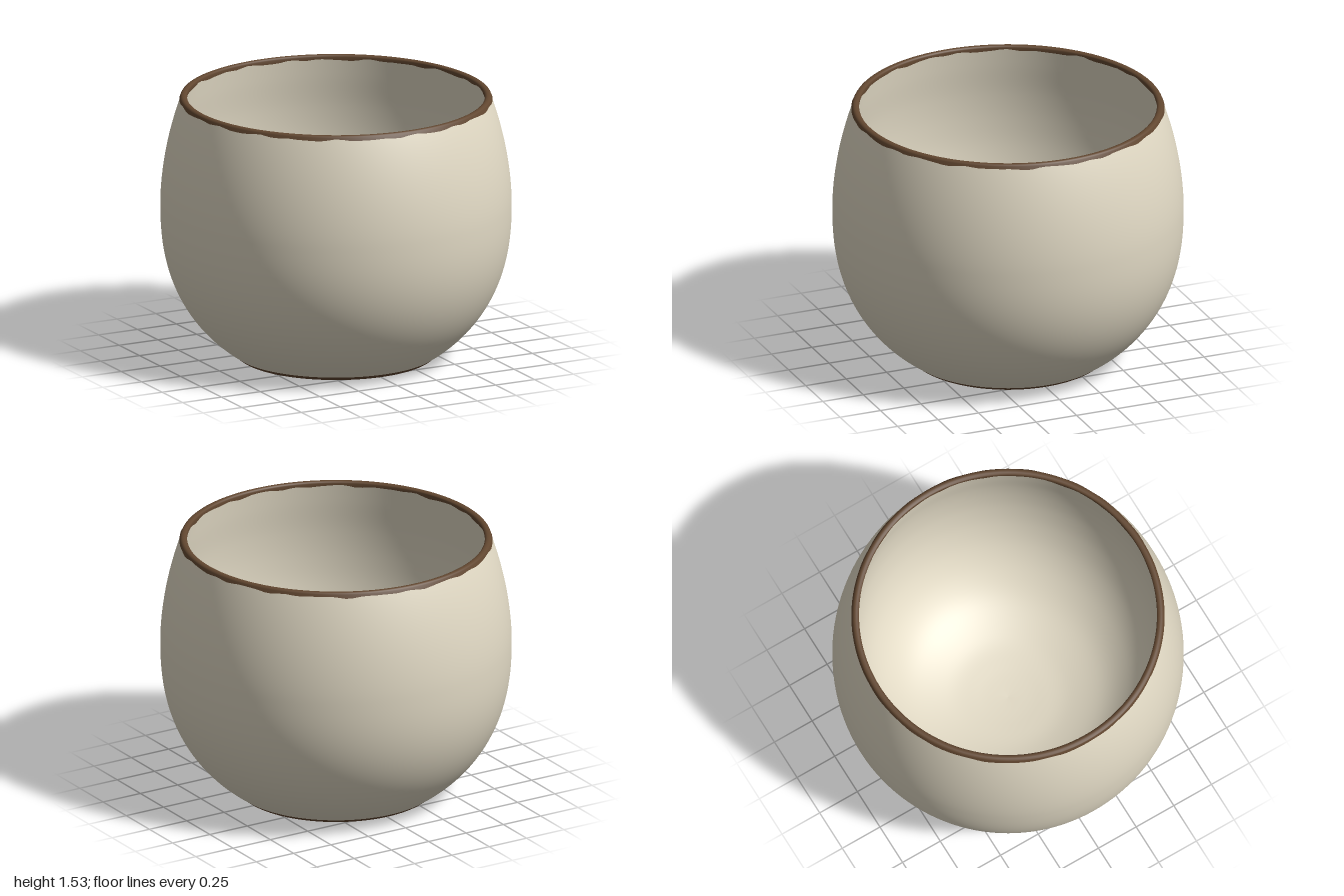
import * as THREE from 'three';

const SEGMENTS = 128;
const cream = new THREE.MeshStandardMaterial({ color: 0xe2dac5 });
cream.name = 'creamGlaze';
const brown = new THREE.MeshStandardMaterial({ color: 0x624730 });
brown.name = 'brownClay';

// Smooth profile through [radius, height] points
function smoothProfile(points, divisions) {
  const curve = new THREE.SplineCurve(points.map(([r, y]) => new THREE.Vector2(r, y)));
  return curve.getPoints(divisions).map((p) => p.setX(Math.max(p.x, 0)));
}

// Radius of the outer wall: widest at 0.9, fuller below than above
function wallRadius(y) {
  const d = y - 0.9;
  return Math.sqrt(1 - (d < 0 ? 0.658 * (-d / 0.875) ** 2.4 : 0.222 * (d / 0.622) ** 1.8));
}

function turned(name, profile, material) {
  const mesh = new THREE.Mesh(new THREE.LatheGeometry(profile, SEGMENTS), material);
  mesh.name = name;
  return mesh;
}

// Irregular waviness of the rim band, periodic around the cup
const wave = (a) =>
  0.004 * Math.sin(23 * a) + 0.003 * Math.sin(13 * a + 1.3) + 0.002 * Math.sin(37 * a + 0.5);

export function createModel() {
  const cup = new THREE.Group();
  cup.name = 'cup';

  // Rounded outer wall
  const outer = [];
  for (let i = 0; i <= 60; i++) {
    const y = 0.025 + (1.522 - 0.025) * (i / 60);
    outer.push(new THREE.Vector2(wallRadius(y), y));
  }
  cup.add(turned('outerWall', outer, cream));

  // Inner wall, thicker towards the bowl-shaped floor
  cup.add(turned('innerWall', smoothProfile([
    [0.85, 1.522], [0.864, 1.4], [0.886, 1.22], [0.893, 1.05], [0.883, 0.88], [0.848, 0.7],
    [0.782, 0.53], [0.68, 0.385], [0.54, 0.27], [0.35, 0.195], [0.17, 0.168], [0, 0.16],
  ], 66), cream));

  // Bare rim with a wavy lower edge on both sides
  const profile = [
    [0.8915, 1.508], [0.886, 1.522], [0.882, 1.529], [0.873, 1.533],
    [0.861, 1.533], [0.852, 1.529], [0.8475, 1.522], [0.8485, 1.506],
  ].map(([r, y]) => new THREE.Vector2(r, y));
  const rim = turned('rim', profile, brown);
  const pos = rim.geometry.attributes.position;
  for (let i = 0; i < pos.count; i++) {
    const row = i % profile.length;
    if (row !== 0 && row !== profile.length - 1) continue;
    const angle = (Math.floor(i / profile.length) / SEGMENTS) * Math.PI * 2;
    pos.setY(i, pos.getY(i) + wave(row ? angle + 2 : angle));
  }
  cup.add(rim);

  // Bare foot ring blending into a shallow recessed underside
  cup.add(turned('foot', smoothProfile([
    [0, 0.052], [0.2, 0.052], [0.38, 0.051], [0.44, 0.046], [0.48, 0.034], [0.507, 0.014],
    [0.523, 0.003], [0.538, 0], [0.555, 0.003], [0.571, 0.013], [0.587, 0.027],
  ], 50), brown));

  return cup;
}
